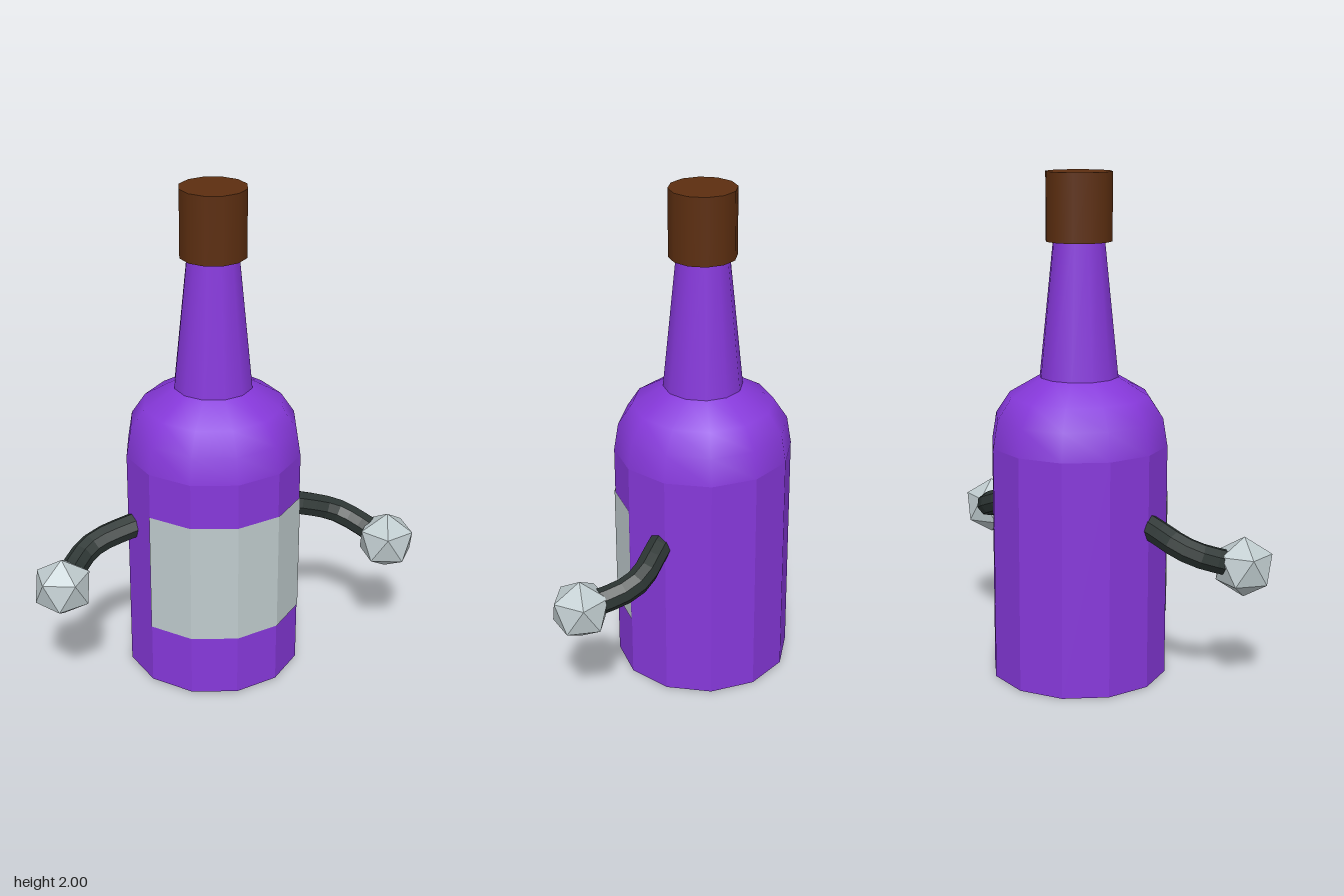
import * as THREE from 'three';
import { toCreasedNormals } from 'three/addons/utils/BufferGeometryUtils.js';
import { ConvexGeometry } from 'three/addons/geometries/ConvexGeometry.js';

const SIDES = 12;

function material(name, color, options = {}) {
  const m = new THREE.MeshStandardMaterial({ color, ...options });
  m.name = name;
  return m;
}

function add(parent, name, geometry, mat) {
  const mesh = new THREE.Mesh(geometry, mat);
  mesh.name = name;
  parent.add(mesh);
  return mesh;
}

// Twelve-sided tapered drum standing between two heights
function drum(rTop, rBottom, y0, y1) {
  return new THREE.CylinderGeometry(rTop, rBottom, y1 - y0, SIDES).translate(0, (y0 + y1) / 2, 0);
}

// Icosahedron standing on a pole, with an upper corner pointing along +x
function fistGeometry(r) {
  const points = [new THREE.Vector3(0, r, 0), new THREE.Vector3(0, -r, 0)];
  for (let i = 0; i < 10; i++) {
    const a = (i * Math.PI) / 5;
    const y = (i % 2 ? -1 : 1) * r * 0.447;
    points.push(new THREE.Vector3(Math.cos(a) * r * 0.894, y, Math.sin(a) * r * 0.894));
  }
  return new ConvexGeometry(points);
}

export function createModel() {
  const purple = material('purple glass', 0x8638da);
  const paper = material('label grey', 0xbfcbcd, { side: THREE.DoubleSide });
  const cork = material('cork brown', 0x5c2e10);
  const dark = material('arm charcoal', 0x2c3533, { flatShading: true });
  const silver = material('hand silver', 0xc0cccf, { flatShading: true });

  const model = new THREE.Group();
  model.name = 'bottleFigure';

  // Bottle: faceted body, rounded shoulder, tapering neck and cork
  const bottle = new THREE.Group();
  bottle.name = 'bottle';
  bottle.position.x = -0.007;
  model.add(bottle);

  add(bottle, 'body', toCreasedNormals(drum(0.353, 0.353, 0, 0.94), 0.4), purple);

  const shoulder = [[0.353, 0.94], [0.335, 1.05], [0.279, 1.135], [0.15, 1.212]]
    .map(([x, y]) => new THREE.Vector2(x, y));
  add(bottle, 'shoulder', new THREE.LatheGeometry(shoulder, SIDES), purple);
  add(bottle, 'neck', drum(0.1, 0.157, 1.205, 1.76), purple);
  add(bottle, 'cork', drum(0.131, 0.131, 1.735, 2), cork);

  // Label wraps the four front facets
  const label = new THREE.CylinderGeometry(0.356, 0.356, 0.5, 4, 1, true, -Math.PI / 3, (2 * Math.PI) / 3);
  label.translate(0, 0.505, 0);
  add(bottle, 'label', toCreasedNormals(label, 0.4), paper);

  // Bent arms with faceted fists
  const armPath = [
    [0.29, 0.66, 0.03], [0.36, 0.643, 0.03], [0.49, 0.598, 0.03],
    [0.555, 0.57, 0.062], [0.67, 0.515, 0.2],
  ];
  for (const side of [1, -1]) {
    const arm = new THREE.Group();
    arm.name = side > 0 ? 'leftArm' : 'rightArm';
    model.add(arm);

    const curve = new THREE.CatmullRomCurve3(
      armPath.map(([x, y, z]) => new THREE.Vector3(x * side, y, z)));
    add(arm, 'limb', new THREE.TubeGeometry(curve, 8, 0.05, 8, false), dark);

    const fist = add(arm, 'fist', fistGeometry(0.12), silver);
    fist.position.set(0.67 * side, 0.515, 0.2);
    fist.rotation.y = side > 0 ? Math.PI : 0;
  }
  return model;
}
